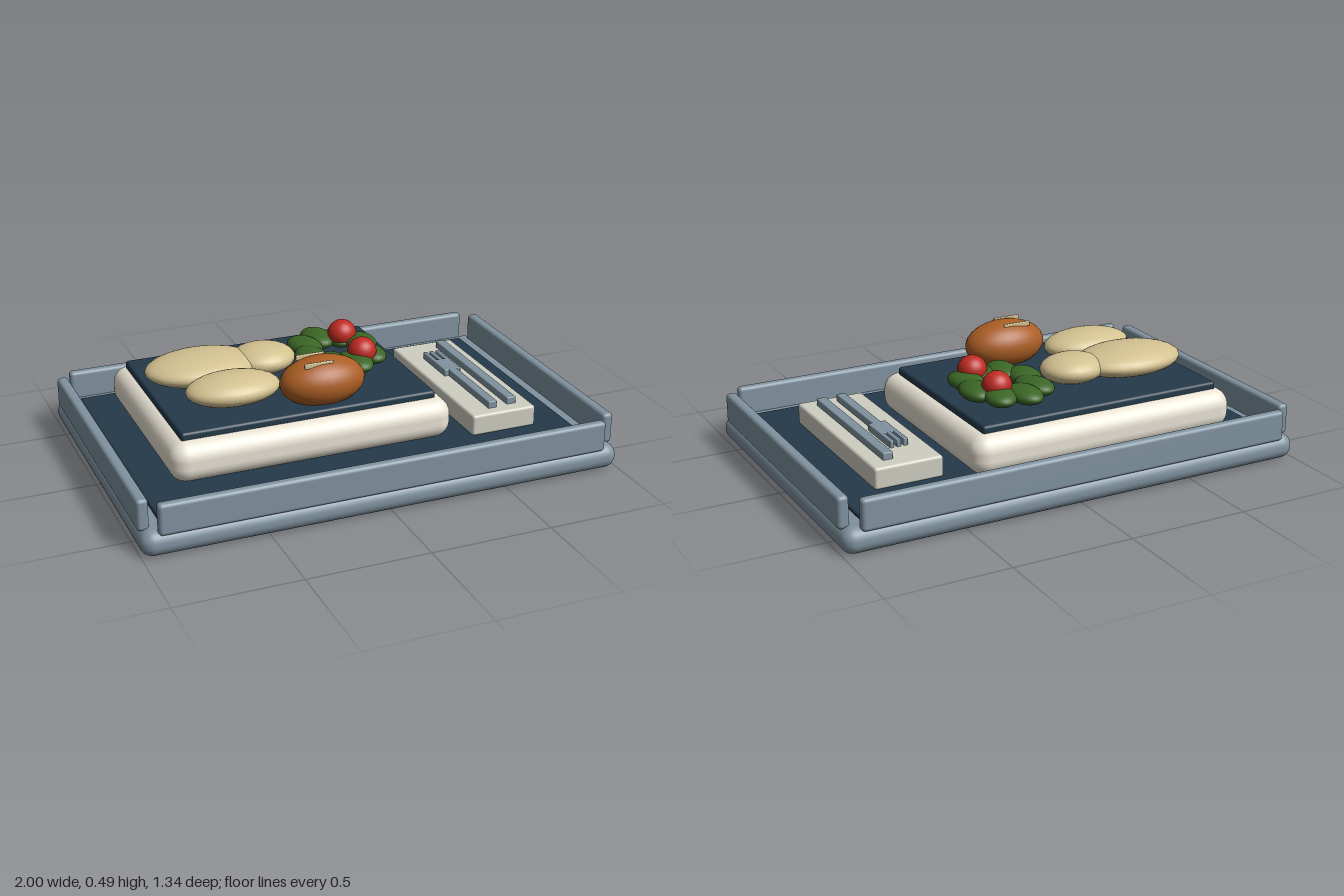
import * as THREE from 'three';
import { RoundedBoxGeometry } from 'three/addons/geometries/RoundedBoxGeometry.js';

const mat = (color) => new THREE.MeshStandardMaterial({ color });
const steel = mat(0x8093a0), navy = mat(0x24394a), cream = mat(0xeae4d6), linen = mat(0xcfcec2);
const potatoMat = mat(0xd3c190), meatMat = mat(0xab5e24), leafMat = mat(0x3b6625), tomatoMat = mat(0xbf2a22);

export function createModel() {
  const model = new THREE.Group();
  model.name = 'mealTray';

  // Rounded box given by its extents on each axis
  function box(name, [x0, x1], [y0, y1], [z0, z1], radius, material, parent = model) {
    const geo = new RoundedBoxGeometry(x1 - x0, y1 - y0, z1 - z0, 4, radius);
    const mesh = new THREE.Mesh(geo, material);
    mesh.position.set((x0 + x1) / 2, (y0 + y1) / 2, (z0 + z1) / 2);
    mesh.name = name;
    parent.add(mesh);
    return mesh;
  }

  // Ellipsoid given by centre and radii, optionally turned about y
  const ball = new THREE.SphereGeometry(1, 28, 18);
  function blob(name, centre, radii, material, turn = 0, parent = model) {
    const mesh = new THREE.Mesh(ball, material);
    mesh.position.set(...centre);
    mesh.scale.set(...radii);
    mesh.rotation.y = turn;
    mesh.name = name;
    parent.add(mesh);
    return mesh;
  }

  // Tray: base, mat and four separate rim walls
  box('trayBase', [-1, 1], [0, 0.105], [-0.67, 0.67], 0.05, steel);
  box('trayMat', [-0.91, 0.905], [0.09, 0.12], [-0.585, 0.575], 0.008, navy);
  for (const s of [-1, 1]) {
    const span = (a, b) => (s > 0 ? [a, b] : [-b, -a]);
    box(s > 0 ? 'frontWall' : 'backWall', [-0.935, 0.93], [0.09, 0.22], span(0.628, 0.67), 0.016, steel);
    box(s > 0 ? 'leftWall' : 'rightWall', span(0.953, 1), [0.09, 0.22], [-0.61, 0.605], 0.016, steel);
  }

  // Plate with a dark inset
  box('plate', [-0.79, 0.395], [0.118, 0.287], [-0.52, 0.385], 0.07, cream);
  box('plateInset', [-0.735, 0.335], [0.275, 0.315], [-0.46, 0.32], 0.012, navy);

  // Potatoes
  const potatoes = new THREE.Group();
  potatoes.name = 'potatoes';
  model.add(potatoes);
  blob('largePotato', [-0.495, 0.367, -0.16], [0.238, 0.063, 0.16], potatoMat, 0, potatoes);
  blob('mediumPotato', [-0.447, 0.367, 0.093], [0.195, 0.062, 0.124], potatoMat, 0, potatoes);
  blob('smallPotato', [-0.232, 0.367, -0.157], [0.138, 0.06, 0.12], potatoMat, 0, potatoes);

  // Roast with two scored strips
  blob('roast', [-0.108, 0.388, 0.198], [0.178, 0.101, 0.114], meatMat);
  for (const z of [0.148, 0.245]) {
    box('roastStrip', [-0.2, -0.08], [0.465, 0.487], [z - 0.006, z + 0.006], 0.004, potatoMat);
  }

  // Salad: a ring of leaves with two tomatoes
  const salad = new THREE.Group();
  salad.name = 'salad';
  model.add(salad);
  for (let i = 0; i < 8; i++) {
    const a = (i / 8) * Math.PI * 2 - 0.2;
    const centre = [0.098 + 0.13 * Math.cos(a), 0.352, -0.152 + 0.155 * Math.sin(a)];
    blob('leaf', centre, [0.065, 0.035, 0.097], leafMat, 0.25 * Math.sin(2 * a), salad);
  }
  for (const z of [-0.242, -0.027]) {
    blob('tomato', [0.162, 0.385, z], [0.061, 0.058, 0.059], tomatoMat, 0, salad);
  }

  // Napkin, fork and knife
  box('napkin', [0.475, 0.762], [0.115, 0.205], [-0.4, 0.39], 0.012, linen);
  const fork = new THREE.Group();
  fork.name = 'fork';
  model.add(fork);
  const high = [0.2, 0.234];
  box('forkHandle', [0.569, 0.608], high, [-0.04, 0.342], 0.005, steel, fork);
  box('forkHead', [0.55, 0.626], high, [-0.145, -0.025], 0.005, steel, fork);
  for (const x of [0.559, 0.588, 0.617]) {
    box('forkTine', [x - 0.009, x + 0.009], high, [-0.24, -0.13], 0.004, steel, fork);
  }
  box('knife', [0.658, 0.7], high, [-0.338, 0.333], 0.005, steel);

  return model;
}
